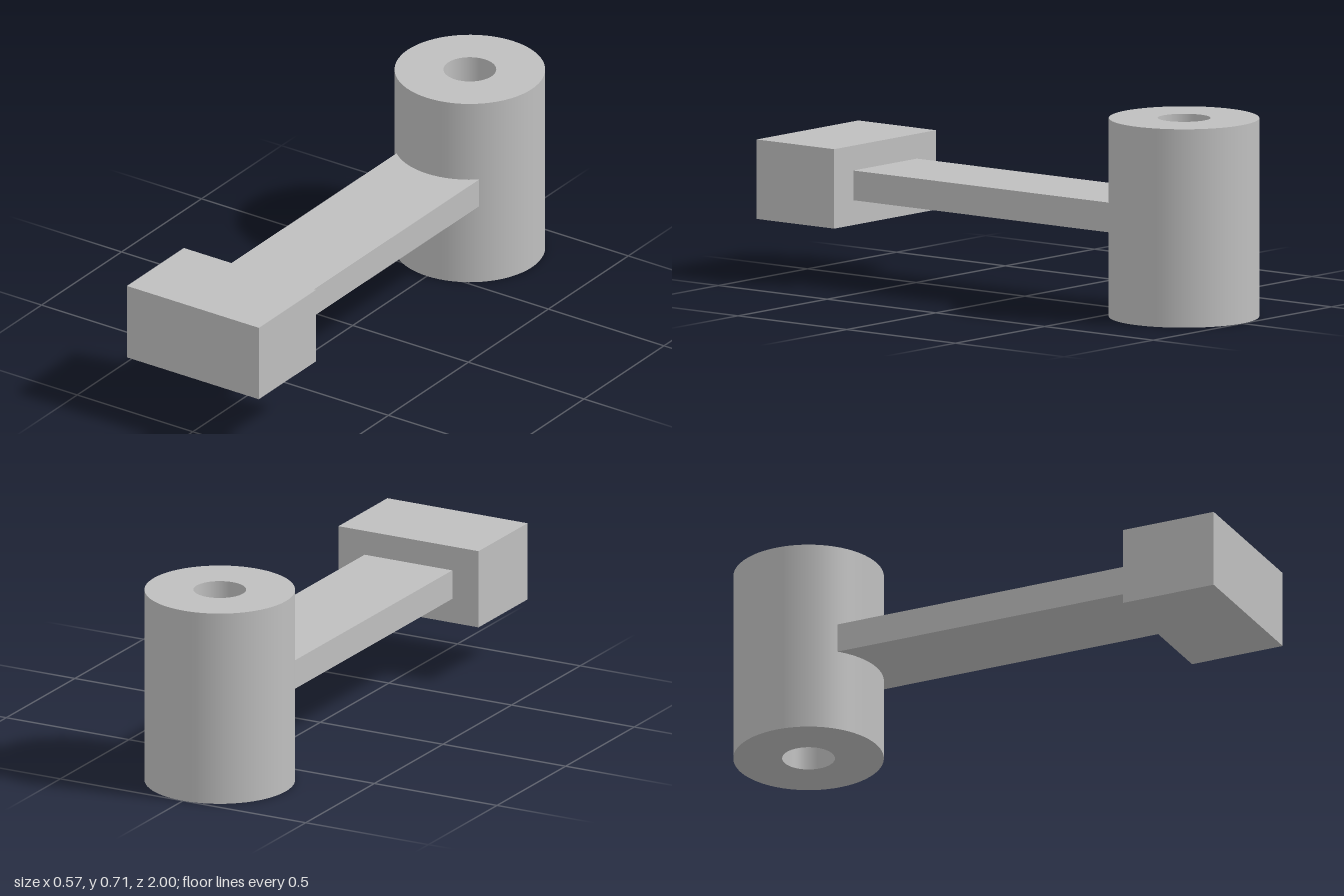
import * as THREE from 'three';
import { mergeGeometries } from 'three/addons/utils/BufferGeometryUtils.js';

const HEIGHT = 0.714, OUTER = 0.268, BORE = 0.094, HUB_Z = -0.732;

export function createModel() {
  const group = new THREE.Group();
  group.name = 'leverArm';
  const grey = new THREE.MeshStandardMaterial({ color: 0xbfbfbf });
  grey.name = 'grey';

  function add(name, geometry, x, y, z) {
    const mesh = new THREE.Mesh(geometry, grey);
    mesh.name = name;
    mesh.position.set(x, y, z);
    group.add(mesh);
  }

  // Hollow hub: each side of the wall section is turned separately for crisp rims
  const section = [[OUTER, 0], [OUTER, HEIGHT], [BORE, HEIGHT], [BORE, 0]]
    .map(([r, y]) => new THREE.Vector2(r, y));
  const walls = section.map((p, i) => new THREE.LatheGeometry([p, section[(i + 1) % 4]], 64));
  add('hub', mergeGeometries(walls), 0, 0, HUB_Z);

  // Flat arm, its back end sunk just into the hub wall
  const armBack = -0.536, armFront = 0.643;
  add('arm', new THREE.BoxGeometry(0.357, 0.107, armFront - armBack),
    0, 0.357, (armBack + armFront) / 2);

  // Block at the front end
  add('endBlock', new THREE.BoxGeometry(0.571, 0.286, 0.357), 0, 0.357, 0.8215);

  return group;
}
